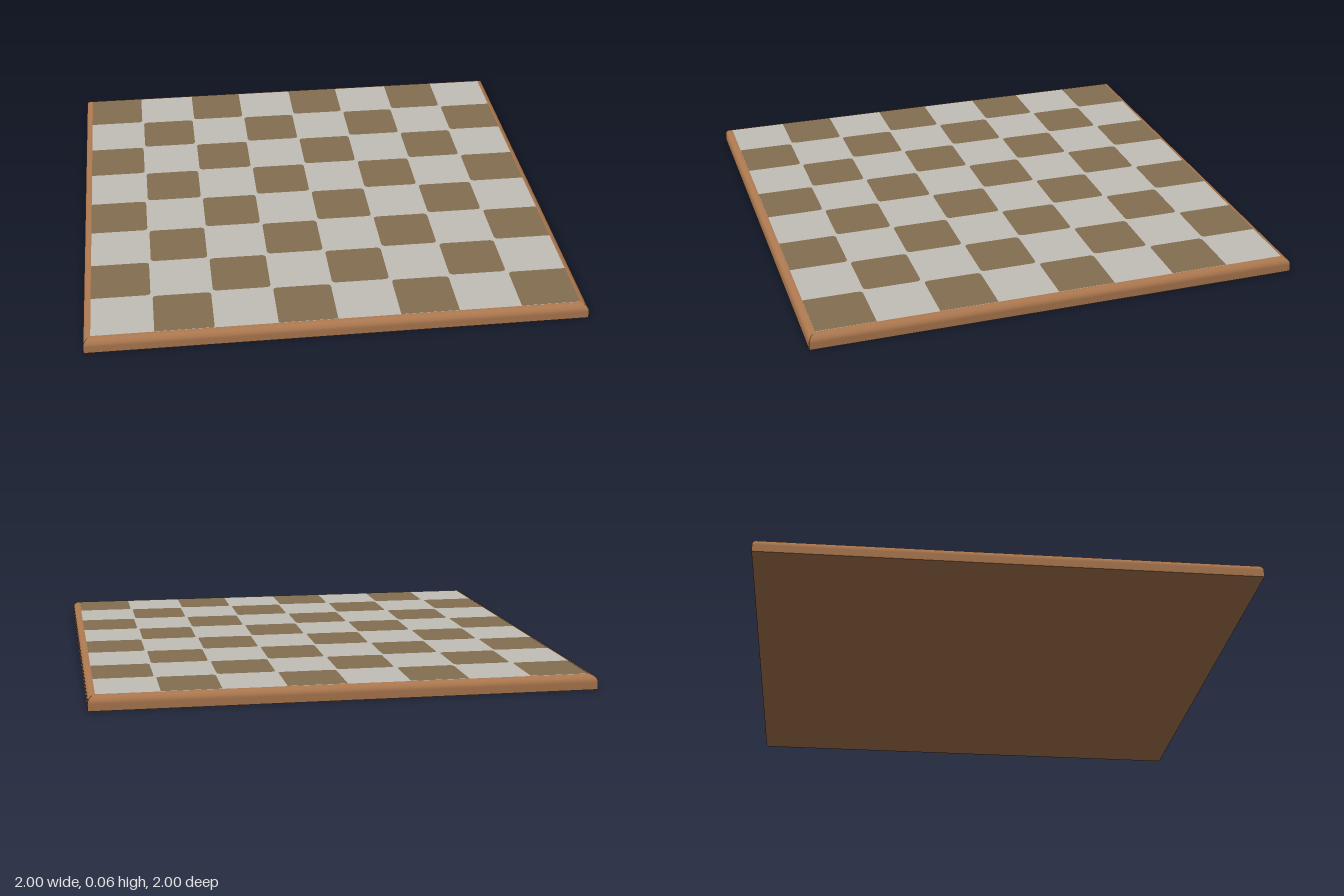
import * as THREE from 'three';

const wood = new THREE.MeshStandardMaterial({ name: 'warm wood', color: 0xac784f });
const pale = new THREE.MeshStandardMaterial({ name: 'pale grey', color: 0xc2beb8 });
const olive = new THREE.MeshStandardMaterial({ name: 'olive brown', color: 0x846e50 });

const HALF = 1, FIELD = 0.97, TOP = 0.059, ROUND = 0.03;
const CELLS = 8, CELL = (2 * FIELD) / CELLS, GAP = 0.004, CORNER = 0.02;

function addMesh(parent, name, geometry, material) {
  const mesh = new THREE.Mesh(geometry, material);
  mesh.name = name;
  parent.add(mesh);
  return mesh;
}

// One mitred side of the frame: a rounded shoulder above an upright edge
function rimGeometry() {
  const steps = 8;
  const geometry = new THREE.PlaneGeometry(2, 1, 1, steps + 1);
  const pos = geometry.attributes.position;
  for (let i = 0; i < pos.count; i++) {
    const row = Math.floor(i / 2);
    const a = (Math.min(row, steps) / steps) * Math.PI / 2;
    const out = HALF - ROUND + ROUND * Math.sin(a);
    const y = row > steps ? 0 : TOP - ROUND + ROUND * Math.cos(a);
    pos.setXYZ(i, Math.sign(pos.getX(i)) * out, y, out);
  }
  geometry.computeVertexNormals();
  return geometry;
}

// A square with rounded corners, kept sharp and flush where it meets the frame
function tileGeometry(col, row) {
  const last = CELLS - 1;
  const x0 = -FIELD + col * CELL + (col > 0 ? GAP : 0);
  const x1 = -FIELD + (col + 1) * CELL - (col < last ? GAP : 0);
  const y1 = FIELD - row * CELL - (row > 0 ? GAP : 0);
  const y0 = FIELD - (row + 1) * CELL + (row < last ? GAP : 0);
  const left = col === 0, right = col === last, back = row === 0, front = row === last;
  const r = (a, b) => (a || b ? 0 : CORNER);
  const fl = r(front, left), fr = r(front, right), br = r(back, right), bl = r(back, left);
  const s = new THREE.Shape();
  s.moveTo(x0 + fl, y0);
  s.lineTo(x1 - fr, y0);
  if (fr) s.quadraticCurveTo(x1, y0, x1, y0 + fr);
  s.lineTo(x1, y1 - br);
  if (br) s.quadraticCurveTo(x1, y1, x1 - br, y1);
  s.lineTo(x0 + bl, y1);
  if (bl) s.quadraticCurveTo(x0, y1, x0, y1 - bl);
  s.lineTo(x0, y0 + fl);
  if (fl) s.quadraticCurveTo(x0, y0, x0 + fl, y0);
  return new THREE.ShapeGeometry(s, 5).rotateX(-Math.PI / 2);
}

export function createModel() {
  const board = new THREE.Group();
  board.name = 'chequeredBoard';

  // Wooden frame and underside
  const rim = rimGeometry();
  ['frontRim', 'leftRim', 'backRim', 'rightRim'].forEach((name, i) => {
    addMesh(board, name, rim, wood).rotation.y = i * Math.PI / 2;
  });
  addMesh(board, 'underside', new THREE.PlaneGeometry(2, 2).rotateX(Math.PI / 2), wood);

  // Pale playing field
  const field = new THREE.PlaneGeometry(2 * FIELD, 2 * FIELD).rotateX(-Math.PI / 2);
  addMesh(board, 'paleField', field, pale).position.y = TOP;

  // Dark squares on alternating cells
  const squares = new THREE.Group();
  squares.name = 'darkSquares';
  squares.position.y = TOP + 0.001;
  for (let row = 0; row < CELLS; row++) {
    for (let col = row % 2; col < CELLS; col += 2) {
      addMesh(squares, 'darkSquare', tileGeometry(col, row), olive);
    }
  }
  board.add(squares);
  return board;
}
